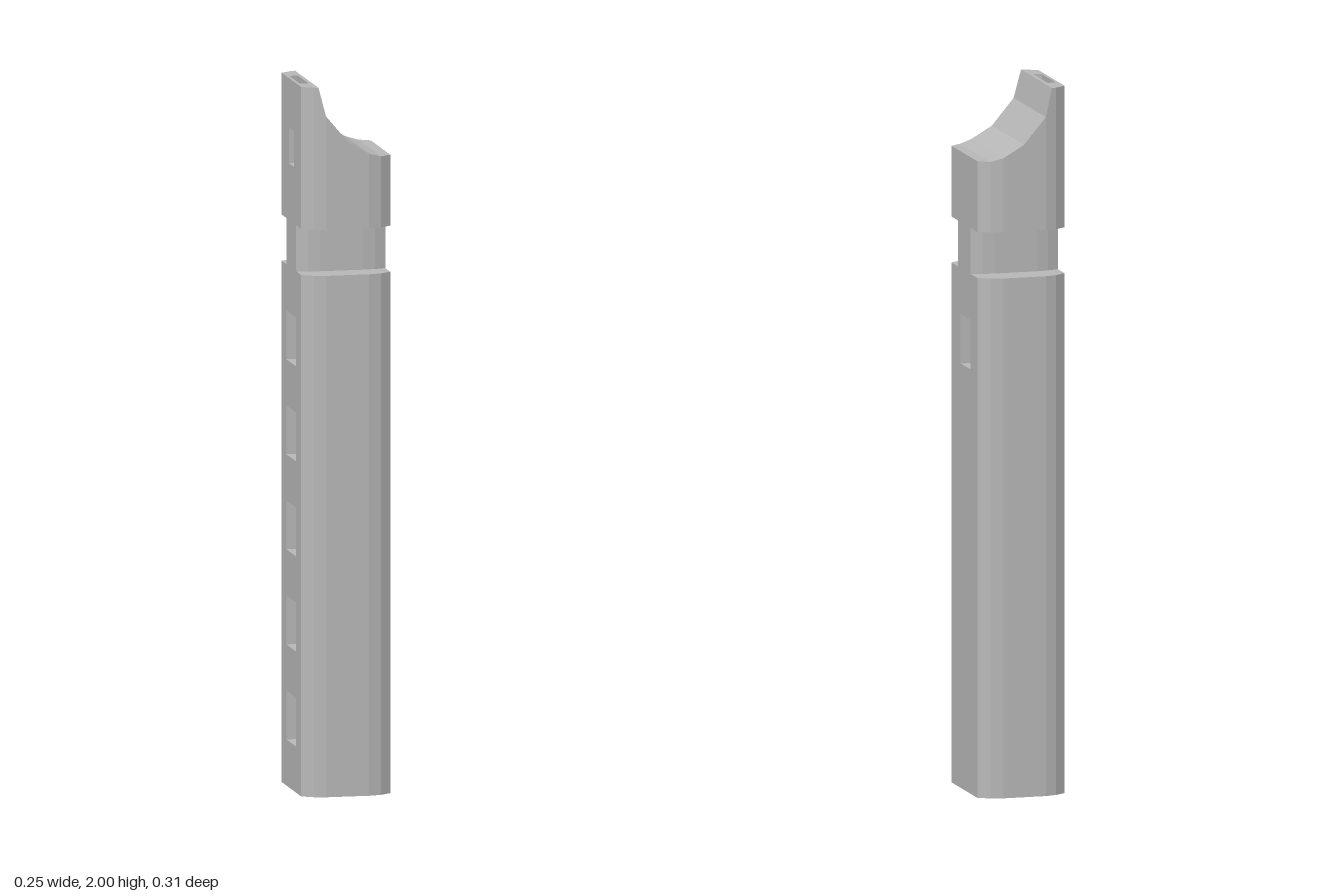
import * as THREE from 'three';
import { mergeGeometries } from 'three/addons/utils/BufferGeometryUtils.js';

const X = 0.127;        // half width across x
const NECK_Y = 1.47;
const HEAD_Y = 1.6;
const RECESS = 0.032;

// Stations along x: [x, half depth in z, top of the beak]
const STATIONS = [
  [-X, 0.125, 2], [-0.095, 0.147, 2], [-0.083, 0.15, 2], [-0.063, 0.155, 1.92],
  [0, 0.155, 1.845], [0.06, 0.155, 1.81], [0.095, 0.147, 1.8], [X, 0.125, 1.8],
];

// Flat-shaded geometry from four-cornered faces
function quads(list) {
  const pos = list.flatMap(([a, b, c, d]) => [a, b, c, a, c, d].flat());
  const g = new THREE.BufferGeometry();
  g.setAttribute('position', new THREE.Float32BufferAttribute(pos, 3));
  g.computeVertexNormals();
  return g;
}

// Shell running along x with curved sides; the x ends stay open for panels
function shell(y0, topOf, zScale, hasTop) {
  const faces = [];
  for (let i = 0; i + 1 < STATIONS.length; i++) {
    const s = STATIONS[i], e = STATIONS[i + 1];
    const [x0, x1, h0, h1, t0, t1] = [s[0], e[0], s[1] * zScale, e[1] * zScale, topOf(s), topOf(e)];
    faces.push([[x0, y0, h0], [x1, y0, h1], [x1, t1, h1], [x0, t0, h0]]);
    faces.push([[x0, t0, -h0], [x1, t1, -h1], [x1, y0, -h1], [x0, y0, -h0]]);
    if (hasTop(i)) faces.push([[x0, t0, h0], [x1, t1, h1], [x1, t1, -h1], [x0, t0, -h0]]);
    faces.push([[x0, y0, -h0], [x1, y0, -h1], [x1, y0, h1], [x0, y0, h0]]);
  }
  return quads(faces);
}

const rect = (u0, u1, v0, v1) => [[u0, v0], [u1, v0], [u1, v1], [u0, v1]];
const points = (list) => list.map(([u, v]) => new THREE.Vector2(u, v));

// Flat panel facing local +z with blind rectangular recesses
function panel(outline, holes = []) {
  const shape = new THREE.Shape(points(outline));
  const faces = [];
  for (const h of holes) {
    shape.holes.push(new THREE.Path(points(h)));
    h.forEach(([u, v], i) => {
      const [p, q] = h[(i + 1) % h.length];
      faces.push([[u, v, 0], [p, q, 0], [p, q, -RECESS], [u, v, -RECESS]]);
    });
    faces.push(h.map(([u, v]) => [u, v, -RECESS]));
  }
  const face = new THREE.ShapeGeometry(shape).toNonIndexed();
  face.deleteAttribute('uv');
  return holes.length ? mergeGeometries([face, quads(faces)]) : face;
}
const onPlusX = (g) => g.rotateY(Math.PI / 2).translate(X, 0, 0);
const onMinusX = (g) => g.rotateY(-Math.PI / 2).translate(-X, 0, 0);

export function createModel() {
  const grey = new THREE.MeshStandardMaterial({ color: 0xb8b8b8 });
  grey.name = 'plain grey';
  const model = new THREE.Group();
  model.name = 'recorder';
  const add = (name, parts) => {
    const mesh = new THREE.Mesh(mergeGeometries(parts), grey);
    mesh.name = name;
    model.add(mesh);
  };
  const edge = STATIONS[0][1];

  // Body: five finger holes on one face, a thumb hole on the other
  const fingerHoles = [];
  for (let i = 0; i < 5; i++) {
    const y = 0.13 + i * 0.268;
    fingerHoles.push(rect(-0.065, 0.06, y, y + 0.138));
  }
  add('body', [
    shell(0, () => NECK_Y, 1, () => true),
    onMinusX(panel(rect(-edge, edge, 0, NECK_Y), fingerHoles)),
    onPlusX(panel(rect(-edge, edge, 0, NECK_Y), [rect(-0.035, 0.06, 1.2, 1.34)])),
  ]);

  // Neck: the same section squeezed in z
  const n = 0.48;
  add('neck', [
    shell(NECK_Y, () => HEAD_Y, n, () => false),
    onMinusX(panel(rect(-edge * n, edge * n, NECK_Y, HEAD_Y))),
    onPlusX(panel(rect(-edge * n, edge * n, NECK_Y, HEAD_Y))),
  ]);

  // Mouthpiece: scooped beak with a window and a slot in its tip
  const tip = STATIONS.slice(0, 3);
  const tipOutline = [
    ...tip.map(([x, h]) => [x, -h]),
    ...tip.slice().reverse().map(([x, h]) => [x, h]),
  ];
  const slot = [[-0.118, -0.064], [-0.094, -0.07], [-0.094, 0.072], [-0.118, 0.065]];
  add('mouthpiece', [
    shell(HEAD_Y, (s) => s[2], 1, (i) => i > 1),
    panel(tipOutline, [slot]).rotateX(-Math.PI / 2).translate(0, 2, 0),
    onMinusX(panel(rect(-edge, edge, HEAD_Y, 2), [rect(-0.034, 0.034, 1.76, 1.86)])),
    onPlusX(panel(rect(-edge, edge, HEAD_Y, 1.8))),
  ]);
  return model;
}
